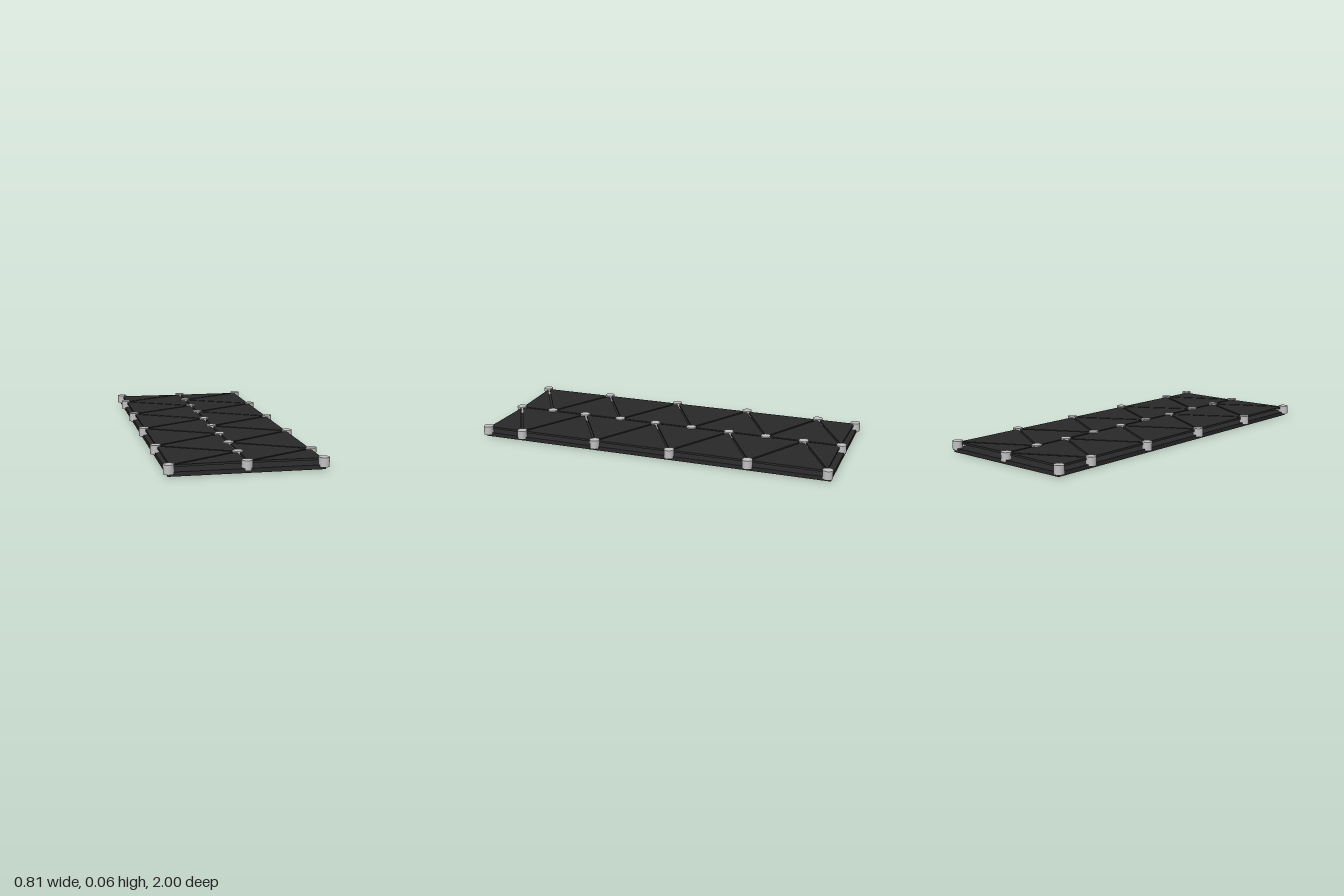
import * as THREE from 'three';

export function createModel() {
  const model = new THREE.Group();
  const charcoal = new THREE.MeshStandardMaterial({ name: 'charcoal', color: 0x292929 });
  const lightGrey = new THREE.MeshStandardMaterial({ name: 'light grey', color: 0xc2c2c2 });

  // Base slab
  const base = new THREE.Mesh(new THREE.BoxGeometry(0.769, 0.022, 1.966), charcoal);
  base.name = 'basePlate';
  base.position.y = 0.011;
  model.add(base);

  // Node positions along the three columns, as (x, z)
  const column = (x, zs) => zs.map((z) => new THREE.Vector2(x, z));
  const right = column(-0.378, [-0.973, -0.755, -0.332, 0.105, 0.55, 0.973]);
  const middle = column(0.002, [-0.964, -0.757, -0.545, -0.333, -0.111, 0.105, 0.322, 0.545, 0.756, 0.96]);
  const left = column(0.378, [-0.964, -0.545, -0.114, 0.317, 0.759, 0.972]);

  // Round posts
  const postGeometry = new THREE.CylinderGeometry(0.027, 0.027, 0.047, 20);
  for (const node of [...right, ...middle, ...left]) {
    const post = new THREE.Mesh(postGeometry, lightGrey);
    post.name = 'post';
    post.position.set(node.x, 0.0355, node.y);
    model.add(post);
  }

  // Thin triangular panel, inset evenly from the lines between its three nodes
  function addPanel(a, b, c) {
    const la = b.distanceTo(c), lb = c.distanceTo(a), lc = a.distanceTo(b);
    const perimeter = la + lb + lc;
    const center = new THREE.Vector2()
      .addScaledVector(a, la / perimeter)
      .addScaledVector(b, lb / perimeter)
      .addScaledVector(c, lc / perimeter);
    const doubleArea = Math.abs(b.clone().sub(a).cross(c.clone().sub(a)));
    const inset = 0.006 * perimeter / doubleArea;
    const corners = [a, b, c].map((p) => {
      const q = p.clone().lerp(center, inset);
      return new THREE.Vector2(q.x, -q.y);
    });
    const geometry = new THREE.ExtrudeGeometry(new THREE.Shape(corners), { depth: 0.011, bevelEnabled: false });
    geometry.rotateX(-Math.PI / 2);
    const panel = new THREE.Mesh(geometry, charcoal);
    panel.name = 'trianglePanel';
    panel.position.y = 0.0415;
    model.add(panel);
  }

  // Zigzag node order on each side: every three in a row make one panel
  const rightStrip = [right[0]];
  const leftStrip = [middle[0]];
  for (let i = 0; i < 5; i++) {
    rightStrip.push(middle[2 * i], right[i + 1]);
    leftStrip.push(left[i], middle[2 * i + 1]);
  }
  rightStrip.push(middle[9]);
  leftStrip.push(left[5]);
  for (const strip of [rightStrip, leftStrip]) {
    for (let i = 0; i + 2 < strip.length; i++) addPanel(strip[i], strip[i + 1], strip[i + 2]);
  }

  return model;
}
